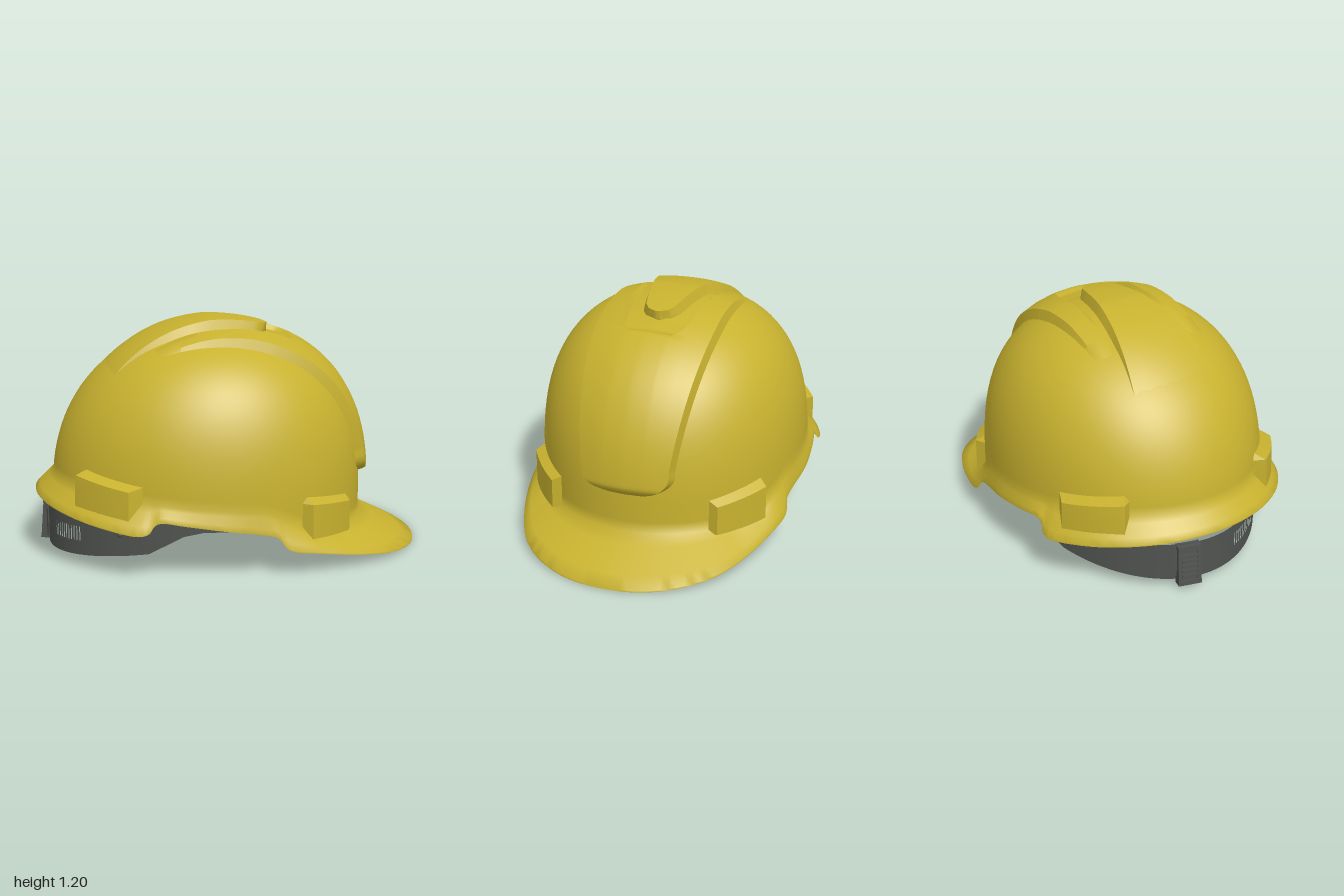
import * as THREE from 'three';
import { toCreasedNormals } from 'three/addons/utils/BufferGeometryUtils.js';

const V = (x, y, z) => new THREE.Vector3(x, y, z);
const clamp01 = (t) => Math.min(1, Math.max(0, t));
const smooth = (t) => { t = clamp01(t); return t * t * (3 - 2 * t); };
const range = (n, a = 0, b = 1) => Array.from({ length: n + 1 }, (_, i) => a + ((b - a) * i) / n);

// piecewise linear lookup in [[x, value], ...]
function lookup(table, x) {
  if (x <= table[0][0]) return table[0][1];
  for (let i = 1; i < table.length; i++) {
    const [x0, v0] = table[i - 1], [x1, v1] = table[i];
    if (x <= x1) return v0 + ((v1 - v0) * (x - x0)) / (x1 - x0);
  }
  return table[table.length - 1][1];
}

// sheet from rows of points; cells where hole(row, column) is true stay open
function sheet(name, rows, material, crease = 0.6, hole = () => false) {
  const n = rows[0].length, index = [];
  for (let i = 0; i < rows.length - 1; i++) {
    for (let j = 0; j < n - 1; j++) {
      if (hole(i, j)) continue;
      const a = i * n + j, b = a + 1, c = a + n, d = c + 1;
      index.push(a, b, c, b, d, c);
    }
  }
  const geo = new THREE.BufferGeometry().setFromPoints(rows.flat());
  geo.setIndex(index);
  const mesh = new THREE.Mesh(toCreasedNormals(geo, crease), material);
  mesh.name = name;
  return mesh;
}

// dome: superelliptic section over an oval plan
const CX = -0.1, BASE = 0.3, H = 0.835, ZR = 0.69;
const power = (c) => 2.6 - 0.3 * c * c + 0.1 * c;
const xr = (c) => (c > 0 ? 0.8 : 0.81);

// dome point at plan angle a and height y, pushed outwards by off
function wall(a, y, off = 0) {
  const c = Math.cos(a), p = power(c), h = clamp01((y - BASE) / H);
  const r = Math.pow(1 - Math.pow(h, p), 1 / p) * (1 + off / 0.75);
  return V(CX + xr(c) * c * r, y + off * h, ZR * Math.sin(a) * r);
}

// dome point at lengthwise angle phi and sideways distance z
function crown(phi, z, off = 0) {
  const c = Math.cos(phi), s = Math.sin(phi), Z = z / ZR;
  let lo = 0, hi = 1.3;
  for (let i = 0; i < 30; i++) {
    const m = (lo + hi) / 2, r = Math.hypot(m * c, Z), p = power((m * c) / (r || 1));
    if (Math.pow(r, p) + Math.pow(m * s, p) < 1) lo = m; else hi = m;
  }
  return V(CX + xr(c) * c * lo + off * c, BASE + H * s * lo + off * s, z);
}

// shell with brim, outside and inside in one skin
function makeShell(material) {
  const half = [
    [1, 0.002, 0], [0.97, 0.004, 0.2], [0.88, 0.018, 0.38], [0.74, 0.04, 0.52], [0.55, 0.073, 0.615],
    [0.38, 0.105, 0.67], [0.24, 0.13, 0.7], [0.2, 0.15, 0.7], [0.16, 0.2, 0.69], [0.1, 0.22, 0.695],
    [-0.1, 0.255, 0.715], [-0.3, 0.285, 0.7], [-0.42, 0.3, 0.68], [-0.45, 0.285, 0.675],
    [-0.48, 0.25, 0.685], [-0.53, 0.24, 0.685], [-0.66, 0.255, 0.62], [-0.82, 0.28, 0.48],
    [-0.95, 0.3, 0.26], [-1, 0.31, 0],
  ].map((p) => V(...p));
  const other = half.slice(1, -1).reverse().map((p) => V(p.x, p.y, -p.z));
  const rim = new THREE.CatmullRomCurve3([...half, ...other], true).getPoints(38 * 5);
  const columns = rim.map((p) => {
    const a = Math.atan2(p.z / ZR, (p.x - CX) / 0.8);
    const yj = lookup([[-1, 0.41], [-0.5, 0.38], [0.1, 0.33], [0.4, 0.205], [0.6, 0.168], [1, 0.165]], p.x);
    const rise = range(26).map((t) => yj + (BASE + H - yj) * Math.sin((t * Math.PI) / 2));
    const outer = rise.map((y) => wall(a, y));
    const inner = rise.map((y) => wall(a, y, -0.02));
    const top = V(p.x, p.y + 0.008, p.z);
    const brim = range(4).slice(1, -1).map((t) => outer[0].clone().lerp(top, t));
    return [...outer.reverse(), ...brim, top, p.clone(), ...inner];
  });
  return sheet('shell', columns, material, 1.2);
}

// raised crown panel with a tapering tongue inside a recessed channel
function makePanel(material) {
  const rows = range(130, 0.07, 2.5).map((phi) => {
    const { x, y } = crown(phi, 0);
    const front = x > 0.1;
    let w = front ? lookup([[0.4, 0.25], [0.52, 0.25], [1.1, 0.325]], y) : 0.325;
    let P = lookup([[-0.5, -0.012], [-0.1, 0.035], [0.1, 0.045]], x);
    if (front) {
      const e = clamp01((y - 0.355) / 0.13);
      w *= Math.sqrt(1 - (1 - e) ** 2);
      P = -0.01 + (P + 0.01) * smooth((y - 0.355) / 0.06);
    }
    const edge = Math.max(w - 0.02, w * 0.6);
    const zo = Math.min(edge * 0.8, lookup([[-0.6, 0.24], [0.15, 0.19], [0.22, 0.18], [0.28, 0.16], [0.32, 0.12]], x));
    const zi = lookup([[-0.6, 0.23], [0.08, 0.09], [0.14, 0.075], [0.175, 0.05], [0.195, 0]], x);
    const C = P - lookup([[-0.58, 0], [-0.2, 0.012], [0.1, 0.035], [0.2, 0.035], [0.29, 0.026], [0.32, 0]], x);
    const T = zi > 0 ? lookup([[-0.72, -0.012], [-0.5, 0.016], [-0.3, 0.042], [-0.1, 0.064], [0.2, 0.057]], x) : C;
    const g = Math.min(0.02, (zo - zi) * 0.3);
    const side = [[w, -0.012], [edge, P], [(edge + zo) / 2, P], [zo, P], [zo - g, C],
      [zi + g, C], [zi, T], [zi * 0.66, T], [zi * 0.33, T]];
    const all = [...side, [0, T], ...side.slice().reverse().map(([z, o]) => [-z, o])];
    return all.map(([z, o]) => crown(phi, z, o));
  });
  return sheet('crownPanel', rows, material, 0.7);
}

// raised accessory slot cover on the lower wall, each pair giving its two ends
function makeSlot(name, side, angle, low, high, out, material) {
  const mix = ([a, b], t) => a + (b - a) * t;
  const us = [0, 0.12, ...range(6, 0.18, 0.86), 0.92, 1];
  const rows = [0, 0.5, 0.82, 1].map((v) => us.map((u) => {
    const y = mix([mix(low, u), mix(high, u)], v);
    const off = v === 1 || u === 0 || u === 1 ? -0.008 : mix(out, u);
    return wall(side * mix(angle, u), y, off);
  }));
  return sheet(name, rows, material, 0.5);
}

// headband point at angle b and relative height v
function band(b, v, off = 0) {
  const x = -0.14 + (0.795 + off) * Math.cos(b);
  const bottom = lookup([[-0.94, 0.03], [-0.47, 0.11], [-0.4, 0.15], [-0.3, 0.205], [-0.2, 0.225],
    [0, 0.22], [0.17, 0.175], [0.4, 0.13], [0.66, 0.11]], x);
  const top = lookup([[-0.94, 0.235], [-0.47, 0.285], [-0.2, 0.34], [0.1, 0.33], [0.62, 0.28]], x);
  return V(x, bottom + (top - bottom) * v, (0.62 + off) * Math.sin(b));
}

function makeHarness(material) {
  const harness = new THREE.Group();
  harness.name = 'harness';

  // headband with adjustment slits at the back and one window on each side
  const N = 600;
  const rows = range(8).map((v) => range(N, 0, Math.PI * 2).map((b) => band(b, v)));
  const hole = (i, j) => {
    const fromBack = Math.floor(Math.abs(j + 0.5 - N / 2));
    const slit = i > 2 && i < 6 && fromBack > 25 && fromBack < 58 && fromBack % 3 === 0;
    const windowGap = i > 2 && i < 5 && fromBack > 152 && fromBack < 168;
    return slit || windowGap;
  };
  harness.add(sheet('headband', rows, material, 0.6, hole));

  // free end of the band lapping over the outside
  harness.add(sheet('bandEnd', range(4, 0.14, 0.88).map((v) => range(20, Math.PI - 0.1, Math.PI + 0.68)
    .map((b) => band(b, v, 0.012))), material));

  // padded brow
  harness.add(sheet('browPad', range(10).map((t) => range(40, -0.95, 0.95)
    .map((b) => band(b, 0.5 + 0.5 * Math.cos(t * Math.PI * 2), -0.03 + 0.03 * Math.sin(t * Math.PI * 2)))), material, 1));

  // four slotted straps up into the shell, riveted to the headband
  for (const a0 of [0.79, 2.2, -0.79, -2.2]) {
    const strap = range(16).map((v) => range(6, -0.15, 0.15)
      .map((u) => band(a0 + u, 0.4, -0.006).lerp(wall(a0 + u, 0.3 + 0.6 * v, -0.035), smooth(v / 0.28))));
    harness.add(sheet('strap', strap, material, 0.6, (i, j) => i > 3 && i < 11 && j > 1 && j < 4));
    const rivet = new THREE.Mesh(new THREE.SphereGeometry(0.016, 12, 8), material);
    rivet.name = 'rivet';
    rivet.position.copy(band(a0, 0.6, -0.006));
    harness.add(rivet);
  }

  // ribbed buckle at the back
  const buckle = new THREE.Group();
  buckle.name = 'buckle';
  const box = (w, h, d, x, y, z) => {
    const m = new THREE.Mesh(new THREE.BoxGeometry(w, h, d), material);
    m.name = 'bucklePart';
    m.position.set(x, y, z);
    buckle.add(m);
  };
  box(0.035, 0.21, 0.1, 0, 0, 0);
  for (const s of [-1, 1]) {
    box(0.05, 0.215, 0.02, 0, 0, s * 0.05);
    box(0.05, 0.025, 0.12, -0.002, s * 0.095, 0);
  }
  for (const y of range(4, -0.055, 0.055)) box(0.012, 0.012, 0.08, -0.022, y, 0);
  buckle.position.set(-0.93, 0.126, -0.12);
  buckle.rotation.set(0, -0.24, -0.08);
  harness.add(buckle);
  return harness;
}

export function createModel() {
  const yellow = new THREE.MeshStandardMaterial({ color: 0xc8b22f, side: THREE.DoubleSide });
  yellow.name = 'yellow plastic';
  const grey = new THREE.MeshStandardMaterial({ color: 0x50534f, side: THREE.DoubleSide });
  grey.name = 'dark grey plastic';

  const model = new THREE.Group();
  model.name = 'hardHat';
  model.add(makeShell(yellow), makePanel(yellow), makeHarness(grey));
  for (const side of [1, -1]) {
    model.add(makeSlot('frontSlot', side, [0.6, 1.06], [0.15, 0.17], [0.335, 0.385], [0.04, 0.05], yellow));
    model.add(makeSlot('rearSlot', side, [2.08, 2.58], [0.28, 0.32], [0.465, 0.515], [0.062, 0.058], yellow));
  }
  return model;
}
